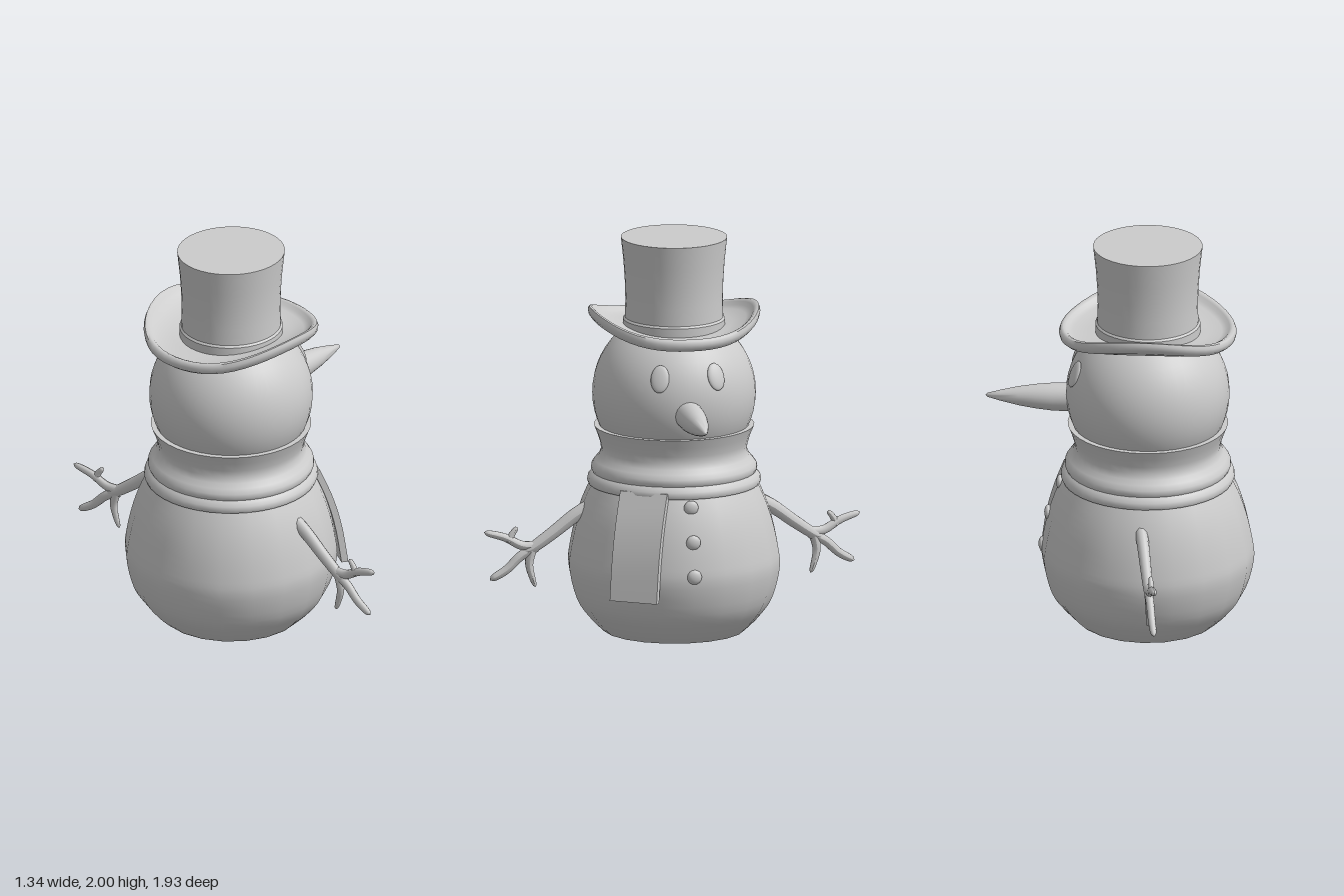
import * as THREE from 'three';
import { toCreasedNormals } from 'three/addons/utils/BufferGeometryUtils.js';

const CX = -0.145; // vertical axis of the figure, which looks along +x
const material = new THREE.MeshStandardMaterial({ color: 0xcccccc });

function add(parent, name, geometry) {
  const mesh = new THREE.Mesh(geometry, material);
  mesh.name = name;
  parent.add(mesh);
  return mesh;
}

// Turned form; profile runs from bottom to top on the outside
function lathe(profile, segments = 40, crease = 0.8) {
  const points = profile.map(([r, y]) => new THREE.Vector2(r, y));
  return toCreasedNormals(new THREE.LatheGeometry(points, segments), crease);
}

// Lathe whose outline is smoothed between flat caps
function roundedLathe(outline, segments) {
  const curve = new THREE.SplineCurve(outline.map(([r, y]) => new THREE.Vector2(r, y)));
  const side = curve.getPoints(24).map((p) => [p.x, p.y]);
  return lathe([[0, side[0][1]], ...side, [0, side[side.length - 1][1]]], segments);
}

// Tube with tapering radius and rounded tip
function twig(points, r0, r1) {
  const path = new THREE.CatmullRomCurve3(points);
  const n = 20, sides = 10;
  const geometry = new THREE.TubeGeometry(path, n, 1, sides);
  const pos = geometry.attributes.position;
  const v = new THREE.Vector3();
  for (let i = 0; i <= n; i++) {
    const t = i / n;
    const centre = path.getPointAt(t);
    const radius = THREE.MathUtils.lerp(r0, r1, t) * Math.sqrt(Math.max(0, 1 - t ** 16));
    for (let j = 0; j <= sides; j++) {
      const k = i * (sides + 1) + j;
      v.fromBufferAttribute(pos, k).sub(centre).multiplyScalar(radius).add(centre);
      pos.setXYZ(k, v.x, v.y, v.z);
    }
  }
  geometry.computeVertexNormals();
  return geometry;
}

// Branch arm drawn in (distance, height), leaning in x as it goes outwards
function buildArm(side, lean) {
  const arm = new THREE.Group();
  arm.name = side > 0 ? 'frontSideArm' : 'backSideArm';
  const at = ([d, y]) => new THREE.Vector3(-(lean * (d - 0.45)), y, side * d);
  const branches = [
    ['forearm', [[0.42, 0.645], [0.5, 0.6], [0.62, 0.51], [0.73, 0.435], [0.78, 0.415]], 0.038, 0.028],
    ['upperFinger', [[0.7, 0.45], [0.77, 0.455], [0.86, 0.5], [0.965, 0.53]], 0.026, 0.017],
    ['thumb', [[0.84, 0.475], [0.825, 0.51], [0.795, 0.55]], 0.02, 0.012],
    ['lowerFinger', [[0.7, 0.445], [0.78, 0.4], [0.85, 0.335], [0.935, 0.285]], 0.026, 0.02],
    ['shortFinger', [[0.72, 0.44], [0.735, 0.36], [0.72, 0.29], [0.703, 0.24]], 0.026, 0.012],
  ];
  for (const [name, pts, r0, r1] of branches) add(arm, name, twig(pts.map(at), r0, r1));
  arm.scale.x = 0.85;
  return arm;
}

export function createModel() {
  const model = new THREE.Group();
  model.name = 'snowman';
  const figure = new THREE.Group();
  figure.name = 'figure';
  figure.position.x = CX;
  model.add(figure);

  // Snow body and head
  add(figure, 'body', roundedLathe([
    [0.355, 0], [0.42, 0.065], [0.49, 0.165], [0.53, 0.32], [0.522, 0.43],
    [0.488, 0.58], [0.435, 0.72], [0.34, 0.9]], 20));
  add(figure, 'head', new THREE.SphereGeometry(0.408, 40, 28)).position.y = 1.21;

  // Wrapped scarf with two folds and a flared collar
  add(figure, 'scarfWrap', lathe([
    [0.36, 0.75], [0.428, 0.75], [0.434, 0.765], [0.43, 0.785], [0.416, 0.802], [0.408, 0.81],
    [0.415, 0.825], [0.412, 0.845], [0.396, 0.868], [0.376, 0.89], [0.363, 0.92],
    [0.368, 0.955], [0.382, 1.0], [0.4, 1.045], [0.37, 1.045]]));

  // Hanging scarf end, following the belly
  const outer = new THREE.SplineCurve([[0.425, 0.78], [0.492, 0.62], [0.54, 0.45], [0.572, 0.25]]
    .map(([r, y]) => new THREE.Vector2(r, y))).getPoints(10);
  const inner = outer.map((p) => new THREE.Vector2(p.x - 0.035, p.y)).reverse();
  const tail = new THREE.ExtrudeGeometry(new THREE.Shape([...outer, ...inner]),
    { depth: 0.25, bevelEnabled: false });
  tail.translate(0, 0, -0.125);
  const tailMesh = add(figure, 'scarfEnd', toCreasedNormals(tail, 0.6));
  tailMesh.rotation.y = -0.56;

  // Carrot nose
  const nose = lathe([[0, 0], [0.072, 0], [0.07, 0.1], [0.062, 0.18], [0.048, 0.27],
    [0.028, 0.36], [0.01, 0.425], [0, 0.435]], 24, 1);
  nose.rotateZ(-Math.PI / 2);
  add(figure, 'nose', nose).position.set(0.375, 1.17, 0);

  // Eyes lie flat against the head
  for (const side of [1, -1]) {
    const eye = add(figure, side > 0 ? 'rightEye' : 'leftEye', new THREE.SphereGeometry(1, 20, 14));
    eye.scale.set(0.016, 0.07, 0.047);
    eye.position.set(0.355, 1.355, side * 0.142);
    eye.rotation.set(0, -side * 0.38, 0.38, 'YZX');
  }

  // Buttons
  for (const [y, r] of [[0.71, 0.438], [0.545, 0.497], [0.375, 0.526]]) {
    const button = add(figure, 'button', new THREE.SphereGeometry(0.037, 16, 12));
    button.scale.x = 0.55;
    button.position.set(r, y, 0);
  }

  figure.add(buildArm(1, 0.01), buildArm(-1, 0.23));

  // Top hat: curled brim lifted at both sides, waisted crown
  const hat = new THREE.Group();
  hat.name = 'hat';
  hat.scale.z = 0.97;
  figure.add(hat);
  const brim = new THREE.LatheGeometry([
    [0, 1.502], [0.15, 1.502], [0.28, 1.502], [0.36, 1.502], [0.42, 1.505], [0.438, 1.518],
    [0.443, 1.54], [0.436, 1.56], [0.422, 1.566], [0.408, 1.56], [0.396, 1.547], [0.37, 1.54],
    [0.3, 1.54], [0.2, 1.54], [0, 1.54]].map(([r, y]) => new THREE.Vector2(r, y)), 48);
  const pos = brim.attributes.position;
  for (let i = 0; i < pos.count; i++) {
    pos.setY(i, pos.getY(i) + 0.088 * Math.abs(pos.getZ(i) / 0.43) ** 3);
  }
  add(hat, 'brim', toCreasedNormals(brim, 0.9));
  add(hat, 'crown', lathe([[0, 1.52], [0.262, 1.52], [0.262, 1.585], [0.253, 1.595], [0.25, 1.68],
    [0.253, 1.78], [0.26, 1.88], [0.272, 1.99], [0.273, 2], [0, 2]], 40, 0.6));

  return model;
}
